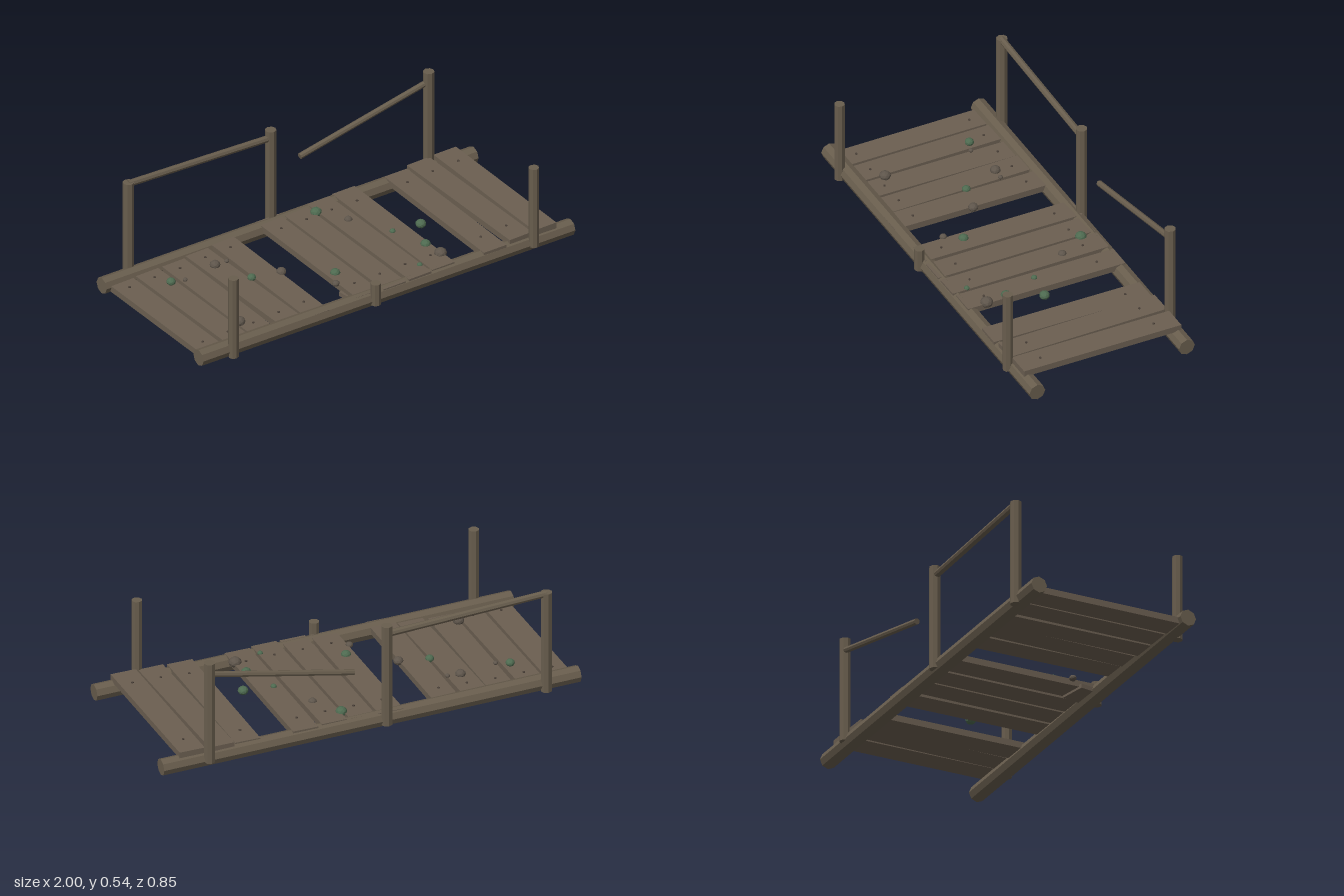
import * as THREE from 'three';

const mat = (name, color) => Object.assign(new THREE.MeshStandardMaterial({ color, flatShading: true }), { name });

export function createModel() {
  const group = new THREE.Group();
  group.name = 'brokenFootbridge';
  const plankWood = mat('plankWood', 0x6b5f51);
  const logWood = mat('logWood', 0x685d4d);
  const stone = mat('stone', 0x5e554b);
  const moss = mat('moss', 0x4e6a50);
  const iron = mat('iron', 0x4a4038);

  const add = (name, geo, material, x, y, z) => {
    const m = new THREE.Mesh(geo, material);
    m.name = name;
    m.position.set(x, y, z);
    group.add(m);
    return m;
  };

  // Round timber between two points
  const beam = (name, a, b, r0, r1 = r0) => {
    const from = new THREE.Vector3(...a), to = new THREE.Vector3(...b);
    const dir = to.clone().sub(from);
    const mid = from.clone().add(to).multiplyScalar(0.5);
    const m = add(name, new THREE.CylinderGeometry(r1, r0, dir.length(), 8), logWood, mid.x, mid.y, mid.z);
    m.quaternion.setFromUnitVectors(new THREE.Vector3(0, 1, 0), dir.normalize());
  };

  // Two sloping side logs
  for (const z of [0.37, -0.37]) beam('sideLog', [-1, 0.071, z], [1, 0.04, z], 0.039);

  // Deck planks by slot: top height, 0 where a plank is missing
  const tops = [0.077, 0.08, 0.079, 0.086, 0.09, 0, 0.091, 0.09, 0.092, 0.09, 0, 0.088, 0.098, 0.102];
  tops.forEach((top, i) => {
    if (!top) return;
    const x = -0.914 + i * 0.136;
    const yaw = 0.012 * Math.sin(i * 2.7);
    const plank = add('plank', new THREE.BoxGeometry(0.12, 0.03, 0.775), plankWood, x, top - 0.015, 0.004 + 0.006 * Math.sin(i * 1.9));
    plank.rotation.y = yaw;
    // Nail heads
    for (const z of [-0.28, 0.28])
      add('nail', new THREE.CylinderGeometry(0.006, 0.006, 0.006, 6), iron, x, top + 0.001, z);
  });

  // Splintered stub left under a plank
  const stub = add('plankStub', new THREE.BoxGeometry(0.135, 0.02, 0.12), plankWood, -0.1, 0.06, 0.32);
  stub.rotation.y = 0.17;

  // Railing posts: full row at the back, shorter and broken ones in front
  const postX = [-0.835, -0.07, 0.78];
  const frontTop = [0.44, 0.145, 0.44];
  postX.forEach((x, i) => {
    beam('backPost', [x, 0.037, -0.4], [x, 0.532, -0.4], 0.026);
    beam('frontPost', [x, 0.037, 0.403], [x, frontTop[i], 0.403], 0.024);
  });

  // Handrails: one whole, one hanging loose
  beam('handrail', [-0.835, 0.524, -0.4], [-0.07, 0.49, -0.4], 0.016);
  beam('brokenHandrail', [0.09, 0.335, -0.405], [0.78, 0.476, -0.405], 0.014);

  // Pebbles and moss clumps: x, z, radius
  const lumps = [
    ['pebble', stone, [[-0.51, -0.2, 0.024], [-0.305, 0.015, 0.023], [-0.695, 0.25, 0.026], [-0.166, 0.235, 0.017],
      [0.187, -0.172, 0.019], [0.358, 0.29, 0.029], [-0.69, -0.172, 0.011], [-0.45, -0.195, 0.011]]],
    ['mossClump', moss, [[-0.75, -0.195, 0.021], [-0.44, -0.02, 0.02], [-0.117, 0.16, 0.023], [0.107, -0.305, 0.026],
      [0.29, 0.02, 0.014], [0.428, 0.04, 0.024], [0.348, 0.19, 0.023], [0.225, 0.32, 0.013]]],
  ];
  for (const [name, material, spots] of lumps)
    spots.forEach(([x, z, r], i) => {
      const m = add(name, new THREE.IcosahedronGeometry(r, 1), material, x, 0.092, z);
      m.scale.y = 0.85;
      m.rotation.y = i * 1.3;
    });

  return group;
}
